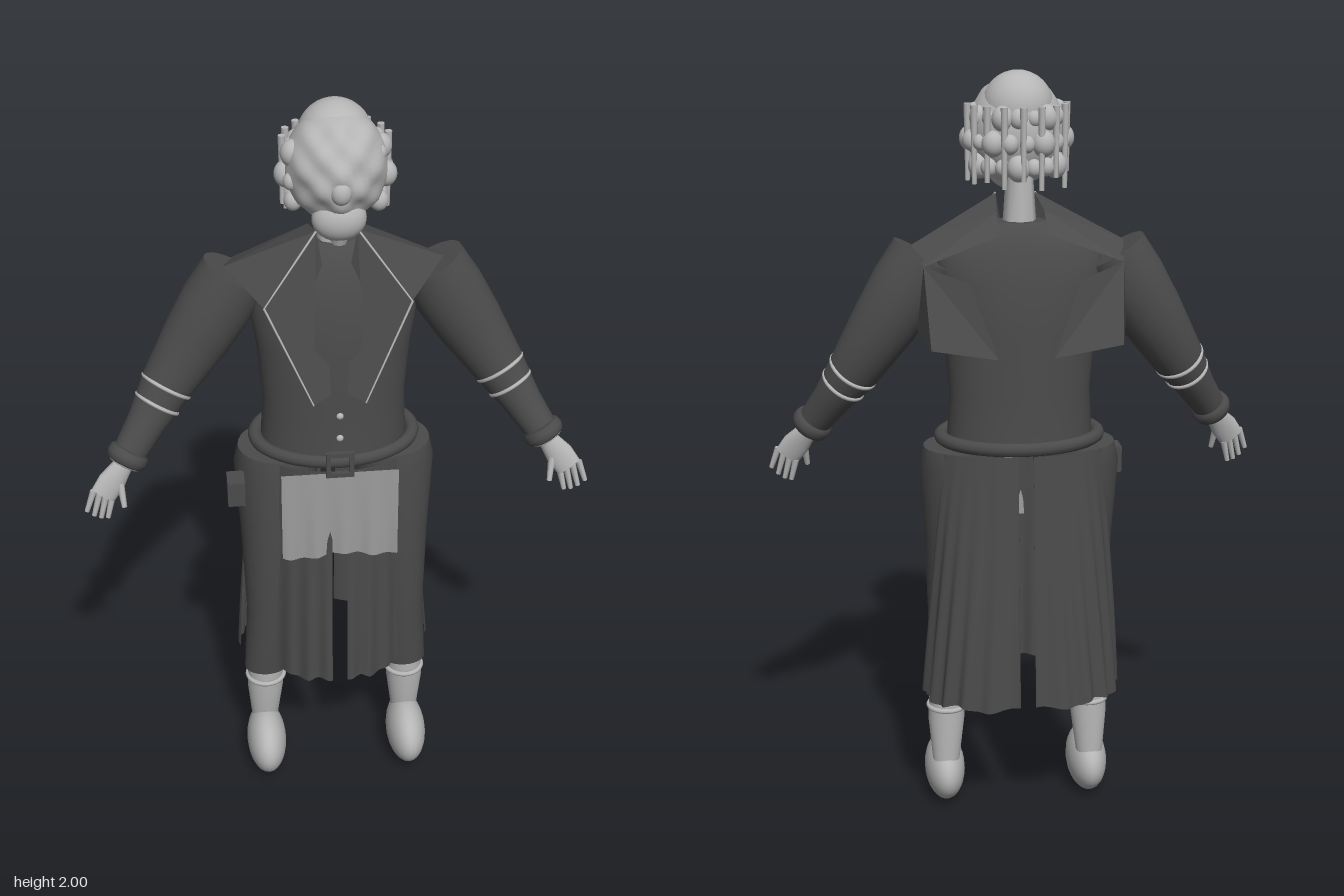
import * as THREE from 'three';

const make = (color, name) => new THREE.MeshStandardMaterial({ color, name, side: THREE.DoubleSide });
const coat = make(0x4b4b4b, 'dark cloth');
const pale = make(0xb6b6b6, 'pale grey');
const cloth = make(0x9c9c9c, 'apron grey');

const lerp = THREE.MathUtils.lerp;
const V = (a) => new THREE.Vector3(...a);

// Skin through elliptical rings [x, y, z, ru, rv]; level rings stay horizontal
function loft(rings, n = 24, level = false) {
  const pos = [], idx = [];
  const ctr = rings.map((r) => new THREE.Vector3(r[0], r[1], r[2]));
  const ringPoints = rings.map((r, i) => {
    const t = ctr[Math.min(i + 1, rings.length - 1)].clone().sub(ctr[Math.max(i - 1, 0)]);
    if (level) t.set(0, Math.sign(t.y), 0);
    t.normalize();
    const v = new THREE.Vector3(0, 0, 1).addScaledVector(t, -t.z).normalize();
    const u = t.clone().cross(v);
    return Array.from({ length: n }, (_, j) => {
      const a = (j / n) * Math.PI * 2;
      return ctr[i].clone().addScaledVector(u, Math.cos(a) * r[3]).addScaledVector(v, Math.sin(a) * r[4]);
    });
  });
  ringPoints.flat().forEach((p) => pos.push(p.x, p.y, p.z));
  for (let i = 0; i < rings.length - 1; i++) for (let j = 0; j < n; j++) {
    const a = i * n + j, b = i * n + ((j + 1) % n);
    idx.push(a, a + n, b, b, a + n, b + n);
  }
  [0, rings.length - 1].forEach((e) => {
    const base = pos.length / 3;
    [ctr[e], ...ringPoints[e]].forEach((p) => pos.push(p.x, p.y, p.z));
    for (let j = 0; j < n; j++) {
      const a = base + 1 + j, b = base + 1 + ((j + 1) % n);
      e === 0 ? idx.push(base, a, b) : idx.push(base, b, a);
    }
  });
  const g = new THREE.BufferGeometry();
  g.setAttribute('position', new THREE.Float32BufferAttribute(pos, 3));
  g.setIndex(idx);
  g.computeVertexNormals();
  return g;
}

// Cloth sheet whose points follow rule(u, v)
function sheet(rule, nu = 24, nv = 8) {
  const g = new THREE.PlaneGeometry(1, 1, nu, nv), p = g.attributes.position;
  for (let i = 0; i < p.count; i++) p.setXYZ(i, ...rule(p.getX(i) + 0.5, 0.5 - p.getY(i)));
  g.computeVertexNormals();
  return g;
}

// Stiff flat flap from a fan of corners, mirrored by s
function flap(corners, s) {
  const g = new THREE.BufferGeometry(), pos = [];
  for (let i = 1; i < corners.length - 1; i++) {
    const tri = s > 0 ? [0, i, i + 1] : [0, i + 1, i];
    tri.forEach((k) => pos.push(s * corners[k][0], corners[k][1], corners[k][2]));
  }
  g.setAttribute('position', new THREE.Float32BufferAttribute(pos, 3));
  g.computeVertexNormals();
  return g;
}

export function createModel() {
  const model = new THREE.Group();
  const add = (name, geo, mat, at = [0, 0, 0], scale = [1, 1, 1]) => {
    const m = new THREE.Mesh(geo, mat);
    m.name = name;
    m.position.set(...at);
    m.scale.set(...scale);
    model.add(m);
    return m;
  };
  const ball = (name, mat, at, r) => add(name, new THREE.SphereGeometry(1, 24, 16), mat, at, r);
  const rod = (name, mat, a, b, r) => add(name, loft([[...a, r, r], [...b, r * 0.7, r * 0.7]], 8), mat);
  const band = (name, mat, at, dir, r, tube, thick = 1) => {
    const m = add(name, new THREE.TorusGeometry(r, tube, 8, 28), mat, at, [1, 1, thick]);
    m.quaternion.setFromUnitVectors(new THREE.Vector3(0, 0, 1), V(dir).normalize());
    return m;
  };

  // Head: lumpy sphere, fuller at the face
  const skull = new THREE.SphereGeometry(1, 48, 36), sp = skull.attributes.position;
  for (let i = 0; i < sp.count; i++) {
    const [x, y, z] = [sp.getX(i), sp.getY(i), sp.getZ(i)];
    const k = 1 + 0.045 * Math.sin(9 * x + 1.57) * Math.sin(10 * y) * Math.max(0, z + 0.3);
    sp.setXYZ(i, x * k * 0.122, y * k * 0.135, z * k * 0.125);
  }
  skull.computeVertexNormals();
  add('head', skull, pale, [0, 1.85, 0.05]);
  ball('crown', pale, [0, 1.91, 0.025], [0.09, 0.09, 0.09]);
  ball('nose', pale, [0, 1.83, 0.165], [0.025, 0.03, 0.022]);
  ball('beard', pale, [0, 1.745, 0.12], [0.065, 0.055, 0.045]);
  rod('beardTip', pale, [0, 1.74, 0.13], [0, 1.685, 0.12], 0.028);
  rod('neck', pale, [0, 1.58, -0.01], [0, 1.78, -0.005], 0.046);

  // Curls ring the sides and back; locks hang behind
  for (let row = 0; row < 3; row++) for (let i = 0; i < 11; i++) {
    const a = Math.PI * (-0.12 + (1.24 * (i + 0.5 * (row % 2))) / 10.5), r = 0.117 - 0.012 * Math.abs(row - 1);
    const size = 0.023 + 0.006 * Math.sin(i * 4.1 + row * 2.3);
    ball('curl', pale, [Math.cos(a) * r, 1.77 + row * 0.06, 0.045 - Math.sin(a) * r * 1.02], [size, size * 1.15, size]);
  }
  for (let i = 0; i < 9; i++) {
    const a = Math.PI * (0.02 + 0.12 * i), x = Math.cos(a) * 0.125, z = 0.04 - Math.sin(a) * 0.125;
    rod('lock', pale, [x, 1.92, z], [x, 1.73 - 0.02 * Math.sin(i * 3), z], 0.009);
  }

  // Jacket body
  add('torso', loft([
    [0, 1.05, -0.01, 0.19, 0.125], [0, 1.2, -0.008, 0.182, 0.118], [0, 1.35, -0.008, 0.195, 0.122],
    [0, 1.48, -0.01, 0.215, 0.11], [0, 1.56, -0.012, 0.205, 0.092], [0, 1.61, -0.015, 0.14, 0.07],
    [0, 1.635, -0.015, 0.06, 0.05]], 40, true), coat);
  for (const y of [1.15, 1.215]) ball('button', pale, [0, y, 0.15], [0.009, 0.009, 0.006]);

  // Belt with open buckle
  const belt = add('belt', new THREE.TorusGeometry(0.2, 0.018, 10, 48), coat, [0, 1.075, -0.005], [1.02, 0.74, 1]);
  belt.rotation.x = Math.PI / 2;
  for (const s of [-1, 1]) {
    add('buckleSide', new THREE.BoxGeometry(0.012, 0.07, 0.012), coat, [s * 0.03, 1.075, 0.157]);
    add('buckleBar', new THREE.BoxGeometry(0.07, 0.012, 0.012), coat, [0, 1.075 + s * 0.03, 0.157]);
  }

  // Apron
  add('apron', sheet((u, v) => [lerp(-0.15, 0.15, u), lerp(1.05, 0.79, v) - 0.006 * Math.sin(u * 9) * v,
    0.158 + 0.006 * v * Math.sin(u * 26)], 36), cloth);
  add('pouch', new THREE.BoxGeometry(0.045, 0.07, 0.06), coat, [-0.262, 0.97, 0.085]);

  for (const s of [-1, 1]) {
    // Collar, lapels, trim and rear cape flaps
    const neck = [0.05, 1.69, 0.072], corner = [0.18, 1.51, 0.112], tip = [0.065, 1.25, 0.148];
    add('lapel', flap([neck, [0.035, 1.6, 0.07], [0.1, 1.45, 0.112], tip, corner], s), coat);
    add('collar', flap([neck, corner, [0.27, 1.575, 0.01], [0.06, 1.66, -0.03]], s), coat);
    add('shoulderCape', flap([[0.06, 1.66, -0.03], [0.27, 1.575, 0.01], [0.25, 1.54, -0.1], [0.06, 1.61, -0.09]], s), coat);
    add('vestPoint', flap([[0.1, 1.44, 0.118], [0.05, 1.38, 0.12], [0.025, 1.35, 0.122], [0.02, 1.27, 0.135], tip], s), coat);
    add('rearFlap', flap([[0.25, 1.54, -0.1], [0.14, 1.5, -0.12], [0.07, 1.31, -0.15], [0.24, 1.345, -0.172]], s), coat);
    add('flapSide', flap([[0.25, 1.54, -0.1], [0.24, 1.345, -0.172], [0.265, 1.37, -0.06]], s), coat);
    const edge = [neck, corner, tip].map(([x, y, z]) => [s * x, y, z + 0.002]);
    rod('lapelTrim', pale, edge[0], edge[1], 0.003);
    rod('lapelTrim', pale, edge[1], edge[2], 0.003);

    // Sleeve, stripes and cuff
    add('sleeve', loft([
      [s * 0.24, 1.55, -0.005, 0.088, 0.07], [s * 0.285, 1.475, -0.005, 0.092, 0.078],
      [s * 0.34, 1.385, 0, 0.086, 0.075], [s * 0.42, 1.26, 0.015, 0.068, 0.062],
      [s * 0.48, 1.17, 0.055, 0.05, 0.048], [s * 0.535, 1.09, 0.092, 0.042, 0.04]]), coat);
    const dir = [s * 0.055, -0.085, 0.036];
    band('sleeveStripe', pale, [s * 0.425, 1.252, 0.019], dir, 0.064, 0.005);
    band('sleeveStripe', pale, [s * 0.45, 1.213, 0.036], dir, 0.057, 0.005);
    band('cuff', coat, [s * 0.532, 1.095, 0.09], dir, 0.04, 0.014, 1.5);
    band('cuffTrim', pale, [s * 0.541, 1.08, 0.096], dir, 0.036, 0.006);

    // Hand with spread fingers
    add('palm', loft([[s * 0.54, 1.08, 0.095, 0.024, 0.022], [s * 0.575, 1.035, 0.11, 0.036, 0.018],
      [s * 0.6, 1.0, 0.12, 0.034, 0.014]], 16), pale);
    for (let f = 0; f < 4; f++) {
      rod('finger', pale, [s * (0.578 + 0.015 * f), 0.99 + 0.01 * f, 0.115 + 0.004 * f],
        [s * (0.592 + 0.017 * f), 0.932 + 0.007 * f * f * 0.5, 0.122 + 0.004 * f], 0.009);
    }
    rod('thumb', pale, [s * 0.555, 1.03, 0.115], [s * 0.548, 0.97, 0.135], 0.01);

    // Trousers, sock and rounded shoe
    add('trouserLeg', loft([[s * 0.145, 1.05, 0, 0.105, 0.1], [s * 0.15, 1.0, 0, 0.112, 0.105],
      [s * 0.165, 0.8, 0.015, 0.085, 0.095], [s * 0.18, 0.55, 0.035, 0.062, 0.065],
      [s * 0.193, 0.33, 0.035, 0.06, 0.045]], 28, true), coat);
    add('sock', loft([[s * 0.195, 0.35, 0.03, 0.048, 0.044], [s * 0.197, 0.26, 0.03, 0.05, 0.046],
      [s * 0.2, 0.13, 0.02, 0.036, 0.036]], 24, true), pale);
    band('sockCuff', pale, [s * 0.195, 0.295, 0.03], [0, 1, 0], 0.05, 0.007);
    ball('shoe', pale, [s * 0.2, 0.088, 0.07], [0.055, 0.088, 0.113]);

    // Long coat skirt, open at the centre and sides
    add('frontPanel', sheet((u, v) => [s * lerp(0.02, lerp(0.15, 0.168, v), u), lerp(1.05, 0.365, v) + 0.006 * Math.sin(u * 9) * v,
      lerp(0.148, lerp(0.11, 0.1, v), u * u) + 0.018 * v * (1 - u) + 0.006 * v * Math.sin(u * 18)]), coat);
    add('backPanel', sheet((u, v) => {
      const a = lerp(lerp(0.55, 0.02, v), 1.56, u), pleat = 1 + 0.03 * v * Math.sin(u * 32);
      return [s * Math.max(0.02, lerp(0.23, 0.26, v) * pleat * Math.cos(a) ** 0.75),
        lerp(1.05, 0.365, v) + 0.007 * Math.sin(u * 14) * v, -lerp(0.135, 0.182, v) * pleat * Math.sin(a) ** 0.75];
    }, 48, 12), coat);
  }
  return model;
}
